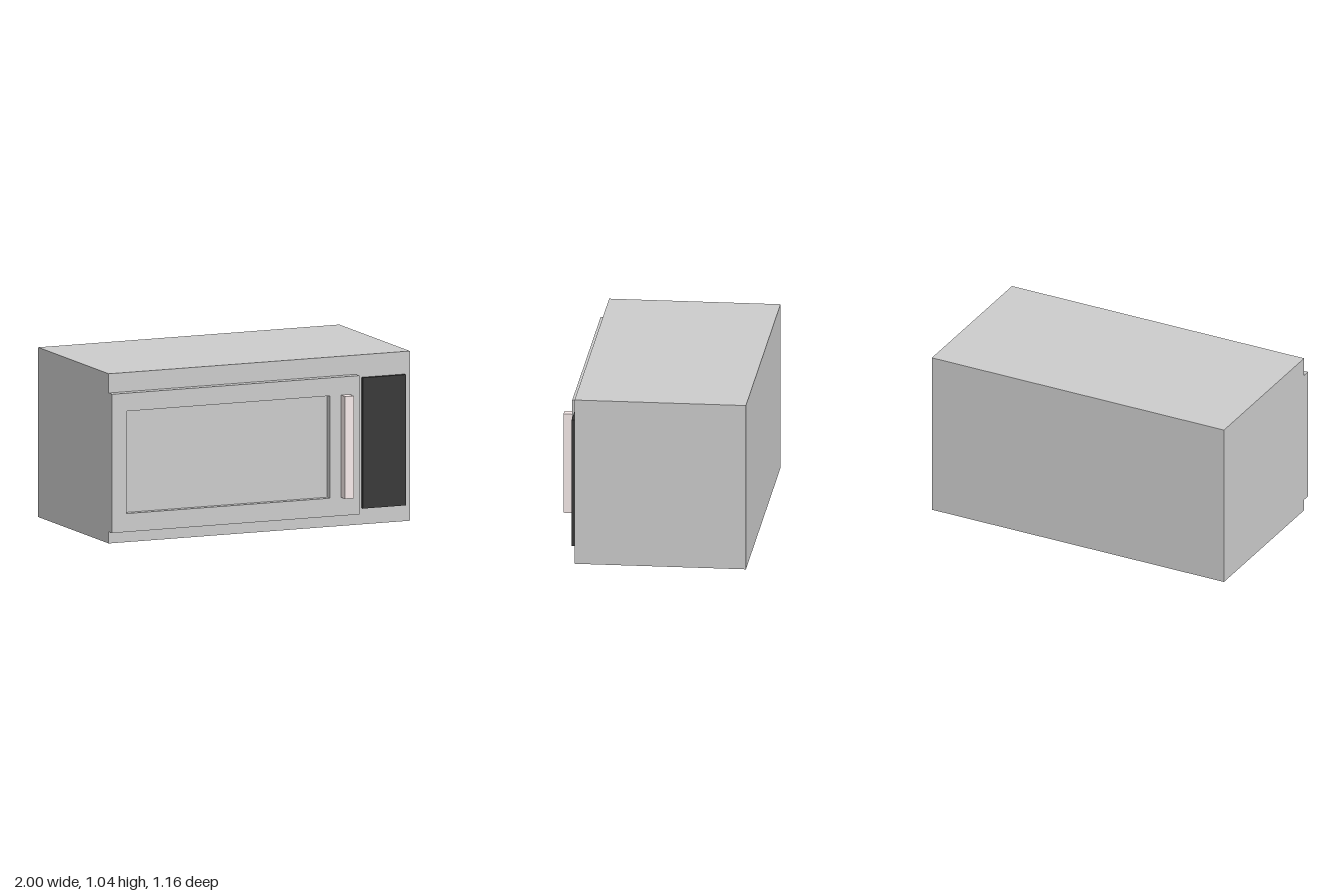
import * as THREE from 'three';

const grey = new THREE.MeshStandardMaterial({ color: 0xcccccc });
const black = new THREE.MeshStandardMaterial({ color: 0x363636 });
const pale = new THREE.MeshStandardMaterial({ color: 0xf6eae9 });

// Box given by its extents along each axis
function box(name, [x0, x1], [y0, y1], [z0, z1], material) {
  const mesh = new THREE.Mesh(new THREE.BoxGeometry(x1 - x0, y1 - y0, z1 - z0), material);
  mesh.position.set((x0 + x1) / 2, (y0 + y1) / 2, (z0 + z1) / 2);
  mesh.name = name;
  return mesh;
}

function rectangle(PathType, x0, x1, y0, y1) {
  return new PathType([
    new THREE.Vector2(x0, y0), new THREE.Vector2(x1, y0),
    new THREE.Vector2(x1, y1), new THREE.Vector2(x0, y1),
  ]);
}

export function createModel() {
  const model = new THREE.Group();
  model.name = 'microwaveOven';

  const bodyFront = 0.466, doorFront = 0.518, handleFront = 0.578;
  const windowX = [-0.904, 0.446], windowY = [0.185, 0.814];

  model.add(box('body', [-1, 1], [0, 1.043], [-0.578, bodyFront], grey));

  // Door frame with a recessed window
  const door = new THREE.Group();
  door.name = 'door';
  const outline = rectangle(THREE.Shape, -1, 0.642, 0.072, 0.925);
  outline.holes.push(rectangle(THREE.Path, ...windowX, ...windowY));
  const frame = new THREE.Mesh(
    new THREE.ExtrudeGeometry(outline, { depth: doorFront - bodyFront, bevelEnabled: false }), grey);
  frame.position.z = bodyFront;
  frame.name = 'doorFrame';
  door.add(frame);
  door.add(box('window', windowX, windowY, [bodyFront, doorFront - 0.04], grey));
  door.add(box('handle', [0.519, 0.578], windowY, [doorFront, handleFront], pale));
  model.add(door);

  // Control panel beside the door
  model.add(box('controlPanel', [0.679, 0.964], [0.1, 0.904], [bodyFront, 0.488], black));

  return model;
}
